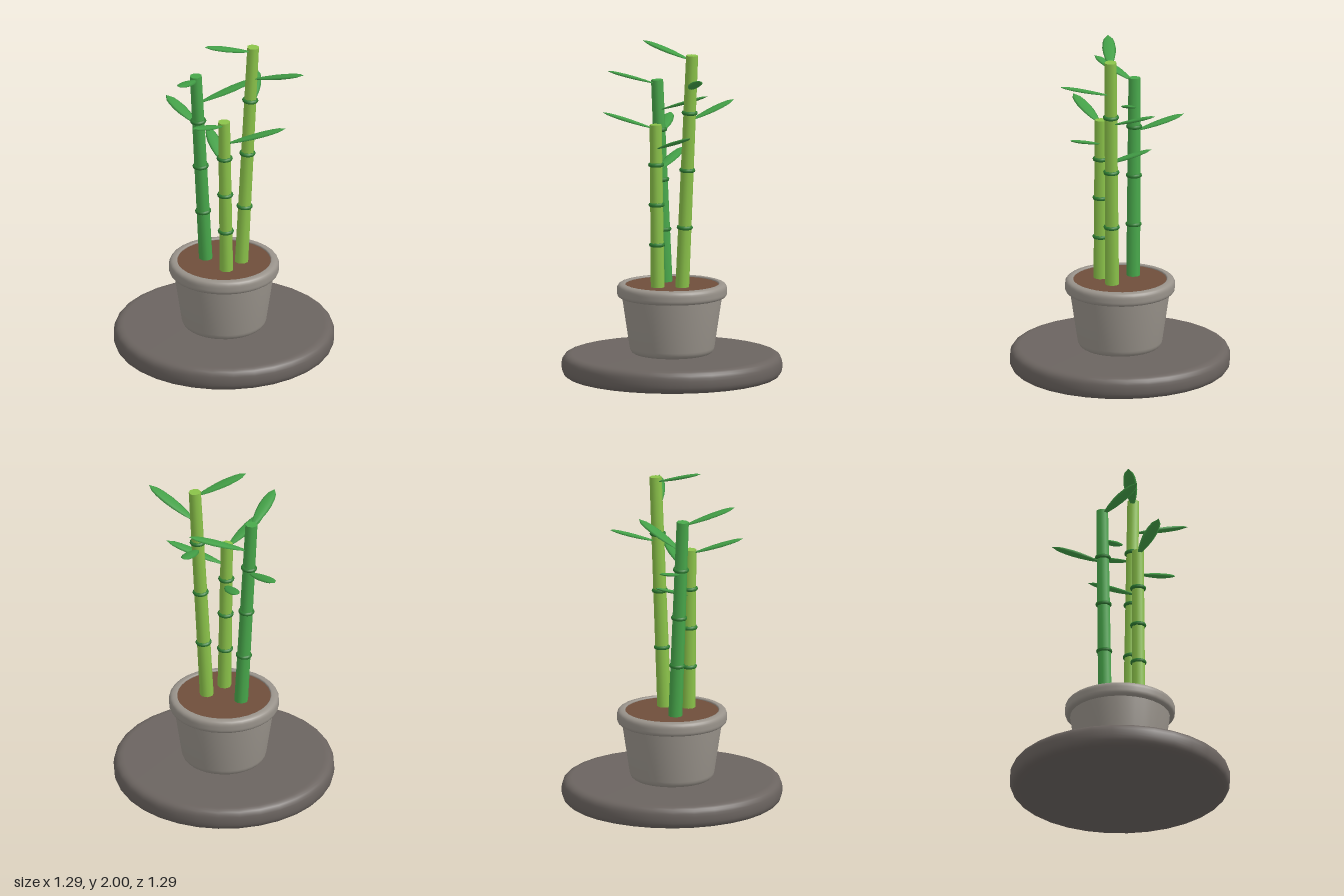
import * as THREE from 'three';

const mat = (name, color) => {
  const m = new THREE.MeshStandardMaterial({ color });
  m.name = name;
  return m;
};
const V = (x, y, z) => new THREE.Vector3(x, y, z);

// Lathe profile with rounded corners: each corner is [radius, height, rounding]
function roundedProfile(corners) {
  const pts = [];
  corners.forEach(([x, y, r], i) => {
    const p = new THREE.Vector2(x, y);
    if (!r) return pts.push(p);
    const toward = ([nx, ny]) => new THREE.Vector2(nx, ny).sub(p).setLength(r).add(p);
    const curve = new THREE.QuadraticBezierCurve(toward(corners[i - 1]), p, toward(corners[i + 1]));
    pts.push(...curve.getPoints(6));
  });
  return pts;
}

// Leaf: pointed body one unit long, flattened into a thin blade
function leafGeometry(length) {
  const profile = [[0, 0], [0.011, 0.01], [0.027, 0.2], [0.037, 0.4], [0.04, 0.58], [0.035, 0.76], [0.026, 0.88], [0, 1]]
    .map(([r, t]) => new THREE.Vector2(r, t * length));
  return new THREE.LatheGeometry(profile, 8).scale(1, 1, 0.26);
}

export function createModel() {
  const model = new THREE.Group();
  model.name = 'pottedBamboo';
  const stone = mat('darkStone', 0x6b6460);
  const clay = mat('greyClay', 0x98928a);
  const earth = mat('brownSoil', 0x6f4e3b);
  const lime = mat('limeStalk', 0x8bc34a);
  const green = mat('greenStalk', 0x48a84b);
  const leafGreen = mat('leafGreen', 0x43a047);
  const ringGreen = mat('ringGreen', 0x2e7d32);

  const add = (parent, name, geometry, material) => {
    const mesh = new THREE.Mesh(geometry, material);
    mesh.name = name;
    parent.add(mesh);
    return mesh;
  };
  const lathe = (name, corners, material) =>
    add(model, name, new THREE.LatheGeometry(roundedProfile(corners), 32), material);

  // Round stone base, tapered pot, overhanging rim and soil
  lathe('base', [[0, 0], [0.647, 0, 0.06], [0.647, 0.137, 0.06], [0, 0.137]], stone);
  lathe('pot', [[0, 0.137], [0.243, 0.137, 0.04], [0.294, 0.48], [0.27, 0.48]], clay);
  lathe('rim', [[0.27, 0.472], [0.323, 0.472, 0.028], [0.323, 0.555, 0.035], [0.275, 0.555, 0.008], [0.272, 0.52]], clay);
  const soil = add(model, 'soil', new THREE.CylinderGeometry(0.276, 0.276, 0.04, 32), earth);
  soil.position.y = 0.526;

  // Stalks: foot and top centres, and leaves as [start height, tip]
  const stalks = [
    {
      name: 'leftStalk', material: green, foot: V(-0.093, 0.56, -0.066), top: V(-0.153, 1.74, -0.066),
      leaves: [[1.42, V(-0.252, 1.498, -0.345)], [1.72, V(-0.328, 1.812, 0.194)], [1.565, V(0.218, 1.68, -0.055)]],
    },
    {
      name: 'frontStalk', material: lime, foot: V(-0.02, 0.56, 0.118), top: V(-0.034, 1.51, 0.118),
      leaves: [[1.49, V(-0.28, 1.587, 0.313)], [1.37, V(0.305, 1.482, 0.25)], [1.235, V(-0.045, 1.337, -0.182)]],
    },
    {
      name: 'rightStalk', material: lime, foot: V(0.098, 0.56, 0.034), top: V(0.168, 1.93, 0.034),
      leaves: [[1.905, V(-0.146, 1.998, 0.09)], [1.73, V(0.4, 1.84, 0.302)], [1.545, V(0.273, 1.642, -0.243)]],
    },
  ];

  const up = V(0, 1, 0);
  for (const { name, material, foot, top, leaves } of stalks) {
    const group = new THREE.Group();
    group.name = name;
    model.add(group);
    const axis = top.clone().sub(foot);
    const tilt = new THREE.Quaternion().setFromUnitVectors(up, axis.clone().normalize());

    const stem = add(group, 'stem', new THREE.CylinderGeometry(0.036, 0.041, axis.length() + 0.03, 8), material);
    stem.quaternion.copy(tilt);
    stem.position.copy(foot).addScaledVector(axis, 0.5).addScaledVector(axis.clone().normalize(), -0.015);

    // Joint rings at each quarter of the stalk
    for (let i = 1; i < 4; i++) {
      const ring = add(group, 'jointRing', new THREE.TorusGeometry(0.036, 0.012, 8, 16).rotateX(Math.PI / 2), ringGreen);
      ring.quaternion.copy(tilt);
      ring.position.copy(foot).addScaledVector(axis, i / 4);
    }

    // Leaves rise from the stalk with their flat side up
    for (const [height, tip] of leaves) {
      const start = foot.clone().addScaledVector(axis, (height - foot.y) / axis.y);
      const along = tip.clone().sub(start);
      const outward = V(along.x, 0, along.z).normalize();
      start.addScaledVector(outward, 0.02);
      along.copy(tip).sub(start);
      const leaf = add(group, 'leaf', leafGeometry(along.length()), leafGreen);
      along.normalize();
      const side = new THREE.Vector3().crossVectors(along, up).normalize();
      const face = new THREE.Vector3().crossVectors(side, along);
      leaf.quaternion.setFromRotationMatrix(new THREE.Matrix4().makeBasis(side, along, face));
      leaf.position.copy(start);
    }
  }
  return model;
}
